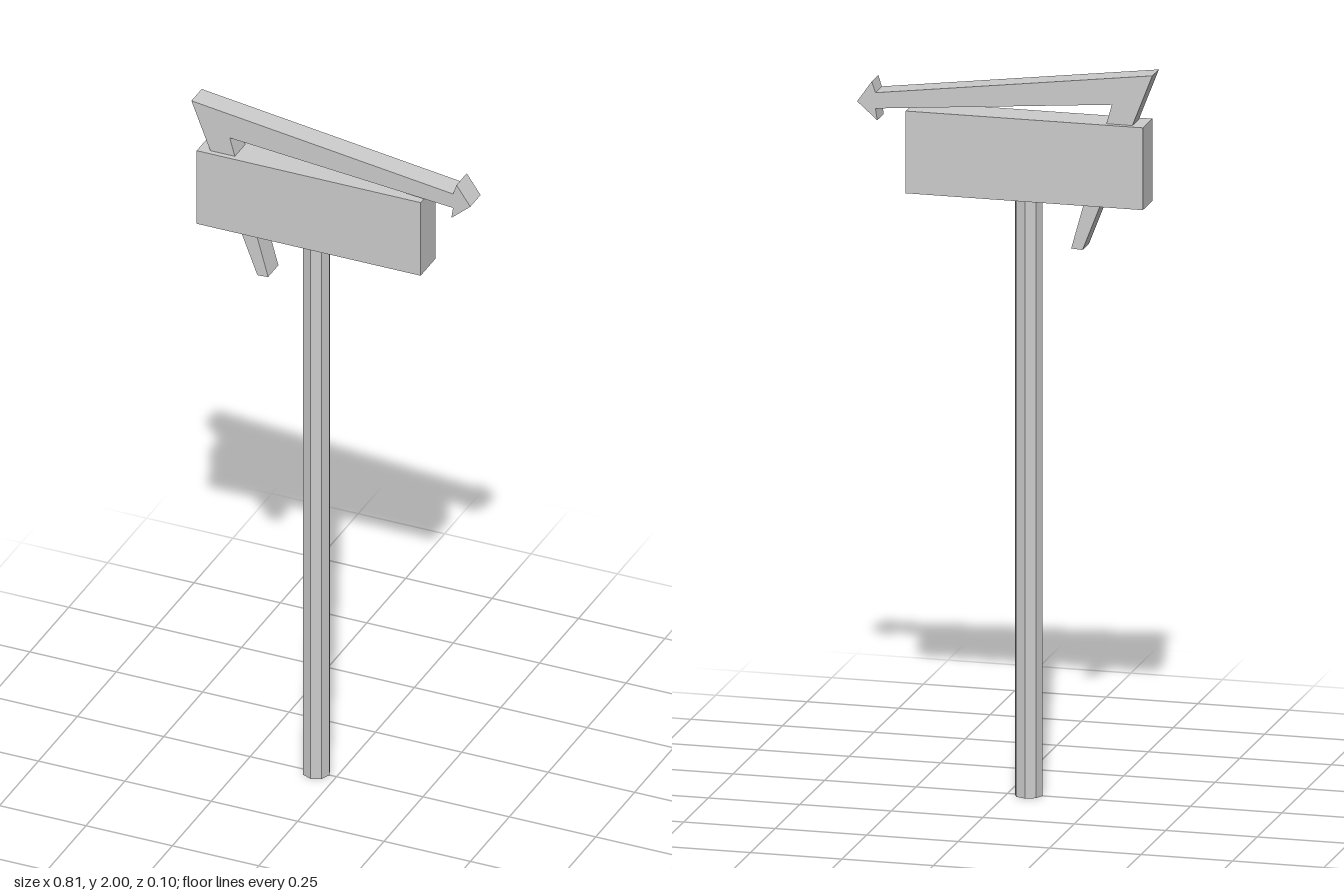
import * as THREE from 'three';

const material = new THREE.MeshStandardMaterial({ color: 0xcccccc, flatShading: true, side: THREE.DoubleSide });

function part(name, geometry, x = 0, y = 0, z = 0) {
  const mesh = new THREE.Mesh(geometry, material);
  mesh.name = name;
  mesh.position.set(x, y, z);
  return mesh;
}

export function createModel() {
  const group = new THREE.Group();
  group.name = 'signpost';

  // Eight-sided hollow post, open at the foot
  const postHeight = 1.64;
  group.add(part('post', new THREE.CylinderGeometry(0.038, 0.038, postHeight, 8, 1, true), -0.058, postHeight / 2));

  // Plain rectangular board
  group.add(part('signBoard', new THREE.BoxGeometry(0.648, 0.225, 0.096), -0.059, 1.7475));

  // Bent arrow: tapered tail through the board, sloping bar, pointed head
  const outline = [
    [-0.214, 1.51], [-0.183, 1.512], [-0.294, 1.913], [0.352, 1.857], [0.347, 1.825],
    [0.402, 1.873], [0.362, 1.93], [0.352, 1.9], [-0.405, 2.0],
  ].map(([x, y]) => new THREE.Vector2(x, y));
  const depth = 0.066;
  const arrow = new THREE.ExtrudeGeometry(new THREE.Shape(outline), { depth, bevelEnabled: false });
  group.add(part('arrow', arrow, 0, 0, -depth / 2));

  return group;
}
